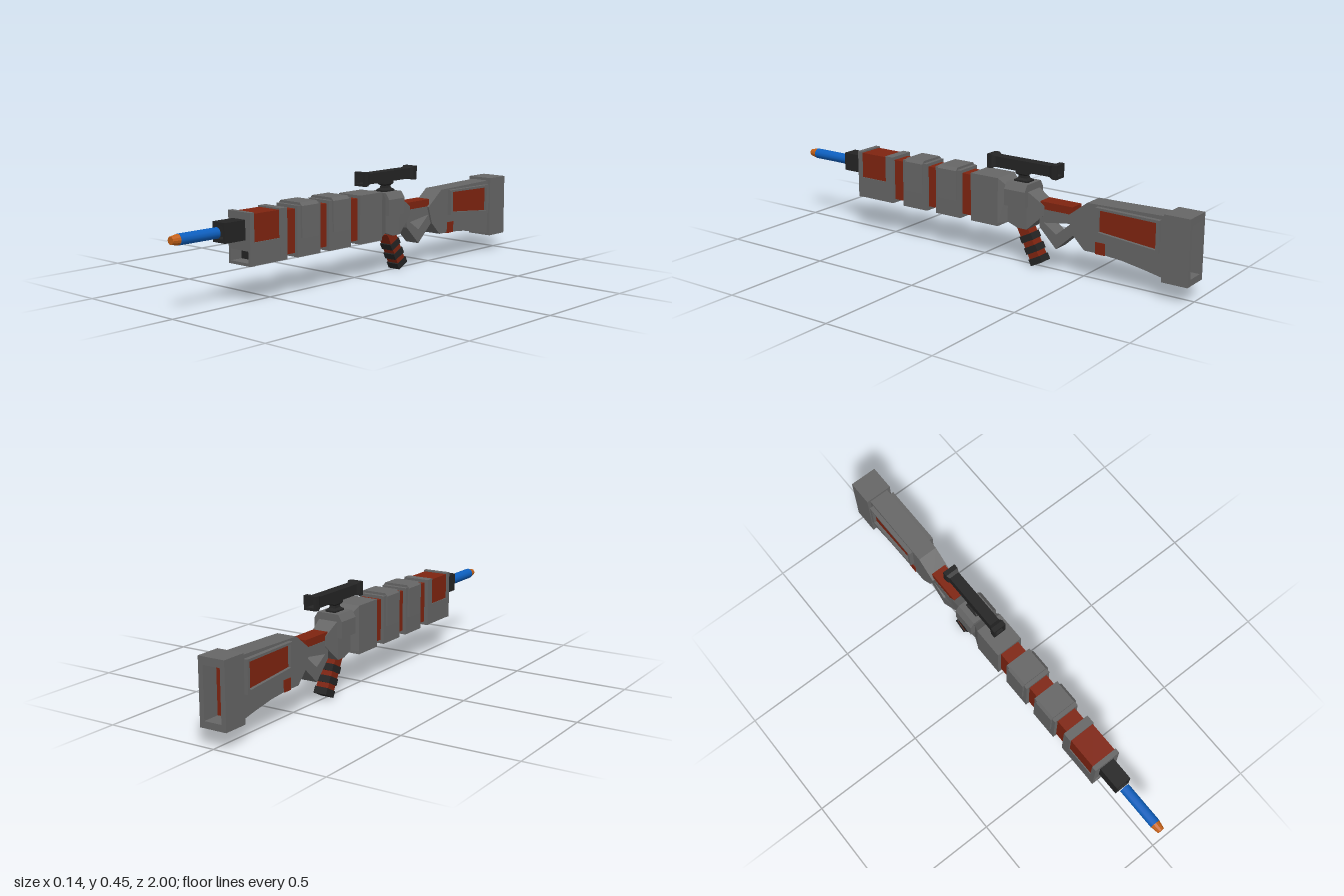
import * as THREE from 'three';

const mat = (name, color) => Object.assign(new THREE.MeshStandardMaterial({ color }), { name });

export function createModel() {
  const root = new THREE.Group();
  root.name = 'foamDartBlaster';
  const grey = mat('grey', 0x666666), red = mat('rustRed', 0x7f2410), black = mat('black', 0x242424);
  const blue = mat('blue', 0x0d60c0), orange = mat('orange', 0xc46016);

  const add = (name, geo, material, parent = root) => {
    const m = new THREE.Mesh(geo, material);
    m.name = name;
    parent.add(m);
    return m;
  };
  const flat = (geo) => {
    const g = geo.index ? geo.toNonIndexed() : geo;
    g.computeVertexNormals();
    return g;
  };
  // box from half width, y range and z range
  const box = (hw, y0, y1, z0, z1) =>
    new THREE.BoxGeometry(hw * 2, y1 - y0, z1 - z0).translate(0, (y0 + y1) / 2, (z0 + z1) / 2);
  const shape = (pts, hole) => {
    const s = new THREE.Shape(pts.map(p => new THREE.Vector2(...p)));
    if (hole) s.holes.push(new THREE.Path(hole.map(p => new THREE.Vector2(...p))));
    return s;
  };
  const extrude = (pts, hole, depth) =>
    new THREE.ExtrudeGeometry(shape(pts, hole), { depth, bevelEnabled: false });
  // side outline in (z, y), extruded across x
  const side = (pts, hw, hole) => extrude(pts, hole, hw * 2).translate(0, 0, -hw).rotateY(-Math.PI / 2);
  // front outline in (x, y), extruded along z
  const front = (pts, z0, z1, hole) => extrude(pts, hole, z1 - z0).translate(0, 0, z0);
  const rect = (hw, y0, y1) => [[-hw, y0], [hw, y0], [hw, y1], [-hw, y1]];
  // downward facing rectangular rim
  const underRim = (hw, y0, y1, z0, z1, t) => extrude(rect(hw, -z1, -z0), rect(hw - t * 1.4, t - z1, -z0 - t), y1 - y0)
    .rotateX(-Math.PI / 2).translate(0, y0, 0);
  // rectangular sections [z, halfWidth, y0, y1], front to back
  const loft = (sections) => {
    const pos = [];
    const rings = sections.map(([z, w, a, b]) => [[-w, a, z], [w, a, z], [w, b, z], [-w, b, z]]);
    const quad = (a, b, c, d) => pos.push(...a, ...b, ...c, ...a, ...c, ...d);
    quad(...rings[0]);
    for (let i = 0; i + 1 < rings.length; i++) {
      const r = rings[i], s = rings[i + 1];
      for (let k = 0; k < 4; k++) {
        const n = (k + 1) % 4;
        quad(r[k], s[k], s[n], r[n]);
      }
    }
    quad(...rings[rings.length - 1].slice().reverse());
    const g = new THREE.BufferGeometry();
    g.setAttribute('position', new THREE.Float32BufferAttribute(pos, 3));
    return flat(g);
  };

  // dart
  const rod = (r1, r0, z0, z1) => new THREE.CylinderGeometry(r1, r0, z1 - z0, 12)
    .rotateX(Math.PI / 2).translate(0, 0.295, (z0 + z1) / 2);
  add('dartBody', rod(0.023, 0.023, 0.775, 0.965), blue);
  add('dartTip', flat(rod(0.016, 0.022, 0.965, 1)), orange);

  // muzzle
  add('muzzle', front(rect(0.035, 0.255, 0.335), 0.655, 0.765, rect(0.025, 0.27, 0.32)), black);
  add('muzzleFloor', box(0.03, 0.26, 0.33, 0.645, 0.665), black);

  // front housing with a window below the muzzle
  const windowHole = rect(0.05, 0.165, 0.212);
  add('frontRim', front(rect(0.062, 0.153, 0.364), 0.638, 0.66, windowHole), grey);
  add('frontLowerShell', front(rect(0.061, 0.154, 0.246), 0.6, 0.638, windowHole), grey);
  add('windowFloor', box(0.051, 0.163, 0.214, 0.598, 0.604), black);
  add('frontLowerBody', box(0.061, 0.168, 0.246, 0.5, 0.6), grey);
  add('frontUnderRim', underRim(0.061, 0.154, 0.168, 0.46, 0.6, 0.022), grey);
  add('frontUpperPanel', box(0.057, 0.24, 0.358, 0.495, 0.64), red);
  add('frontRearRib', box(0.062, 0.168, 0.364, 0.46, 0.5), grey);

  // barrel core and clamping bands
  add('barrelCore', box(0.045, 0.17, 0.35, 0.02, 0.47), red);
  const padOutline = [[-0.069, 0.23], [0.069, 0.23], [0.067, 0.36], [0.055, 0.373], [-0.055, 0.373], [-0.067, 0.36]];
  for (const z of [0.335, 0.152]) {
    add('band', box(0.06, 0.168, 0.363, z - 0.066, z + 0.066), grey);
    add('bandUnderRim', underRim(0.06, 0.153, 0.168, z - 0.066, z + 0.066, 0.022), grey);
    add('bandPad', front(padOutline, z - 0.048, z + 0.048), grey);
  }

  // receiver
  add('receiver', loft([
    [0.03, 0.061, 0.168, 0.363], [-0.11, 0.061, 0.168, 0.363], [-0.15, 0.045, 0.178, 0.33],
    [-0.2, 0.045, 0.16, 0.328], [-0.245, 0.045, 0.16, 0.326], [-0.325, 0.037, 0.235, 0.275],
  ]), grey);
  add('receiverUnderRim', underRim(0.061, 0.154, 0.168, -0.11, 0.03, 0.022), grey);
  add('receiverPad', front([
    [-0.068, 0.255], [0.068, 0.255], [0.068, 0.325], [0.05, 0.353], [-0.05, 0.353], [-0.068, 0.325],
  ], -0.25, -0.147), grey);

  // pistol grip of alternating rings
  const grip = new THREE.Group();
  grip.name = 'grip';
  grip.position.set(0, 0.155, -0.215);
  grip.rotation.x = 0.47;
  root.add(grip);
  add('gripCore', box(0.029, -0.14, 0.02, -0.025, 0.025), red, grip);
  for (let i = 0; i < 3; i++) {
    const y = -0.16 + i * 0.051;
    add('gripRing', box(0.031, y, y + 0.029, -0.031, 0.031), black, grip);
  }

  // neck and trigger guard
  add('neckPanel', box(0.035, 0.25, 0.292, -0.46, -0.305), red);
  add('triggerGuard', side([
    [-0.3, 0.24], [-0.32, 0.26], [-0.45, 0.26], [-0.49, 0.22], [-0.472, 0.18], [-0.385, 0.1], [-0.305, 0.18],
  ], 0.036, [[-0.325, 0.203], [-0.385, 0.163], [-0.455, 0.222]]), grey);

  // stock
  add('stock', side([
    [-0.445, 0.258], [-0.535, 0.327], [-0.9, 0.335], [-0.9, 0.08], [-0.8, 0.1], [-0.7, 0.117],
    [-0.6, 0.125], [-0.525, 0.125], [-0.47, 0.18],
  ], 0.045), grey);
  add('stockFrame', side([[-0.583, 0.321], [-0.868, 0.318], [-0.868, 0.182], [-0.583, 0.206]], 0.064,
    [[-0.597, 0.312], [-0.855, 0.307], [-0.855, 0.197], [-0.597, 0.22]]), grey);
  add('stockPanel', side([[-0.59, 0.316], [-0.86, 0.312], [-0.86, 0.19], [-0.59, 0.213]], 0.05), red);
  add('stockLowerBlock', box(0.048, 0.122, 0.172, -0.622, -0.578), red);

  // hollow butt
  const buttOutline = rect(0.061, 0.072, 0.347);
  add('butt', front(buttOutline, -0.998, -0.915, rect(0.04, 0.1, 0.315)), grey);
  add('buttFront', front(buttOutline, -0.915, -0.885), grey);
  add('buttFloor', box(0.039, 0.101, 0.314, -0.922, -0.91), red);

  // sight: square hollow tube with flared ends, on a waisted mount
  const q = Math.SQRT2;
  const squareTube = [
    [0.018, -0.172], [0.03, -0.172], [0.03, -0.15], [0.023, -0.135], [0.023, 0.135],
    [0.03, 0.15], [0.03, 0.172], [0.018, 0.172], [0.018, -0.172],
  ].map(([r, y]) => new THREE.Vector2(r * q, y));
  add('sightTube', flat(new THREE.LatheGeometry(squareTube, 4, Math.PI / 4)
    .rotateX(Math.PI / 2).translate(0, 0.42, -0.205)), black);
  const mount = [[0.03, 0.32], [0.03, 0.36], [0.018, 0.368], [0.016, 0.378], [0.026, 0.386], [0.026, 0.401]]
    .map(([r, y]) => new THREE.Vector2(r * q * 0.8, y));
  add('sightMount', flat(new THREE.LatheGeometry(mount, 4, Math.PI / 4).scale(1, 1, 1.4).translate(0, 0, -0.2)), black);

  return root;
}
